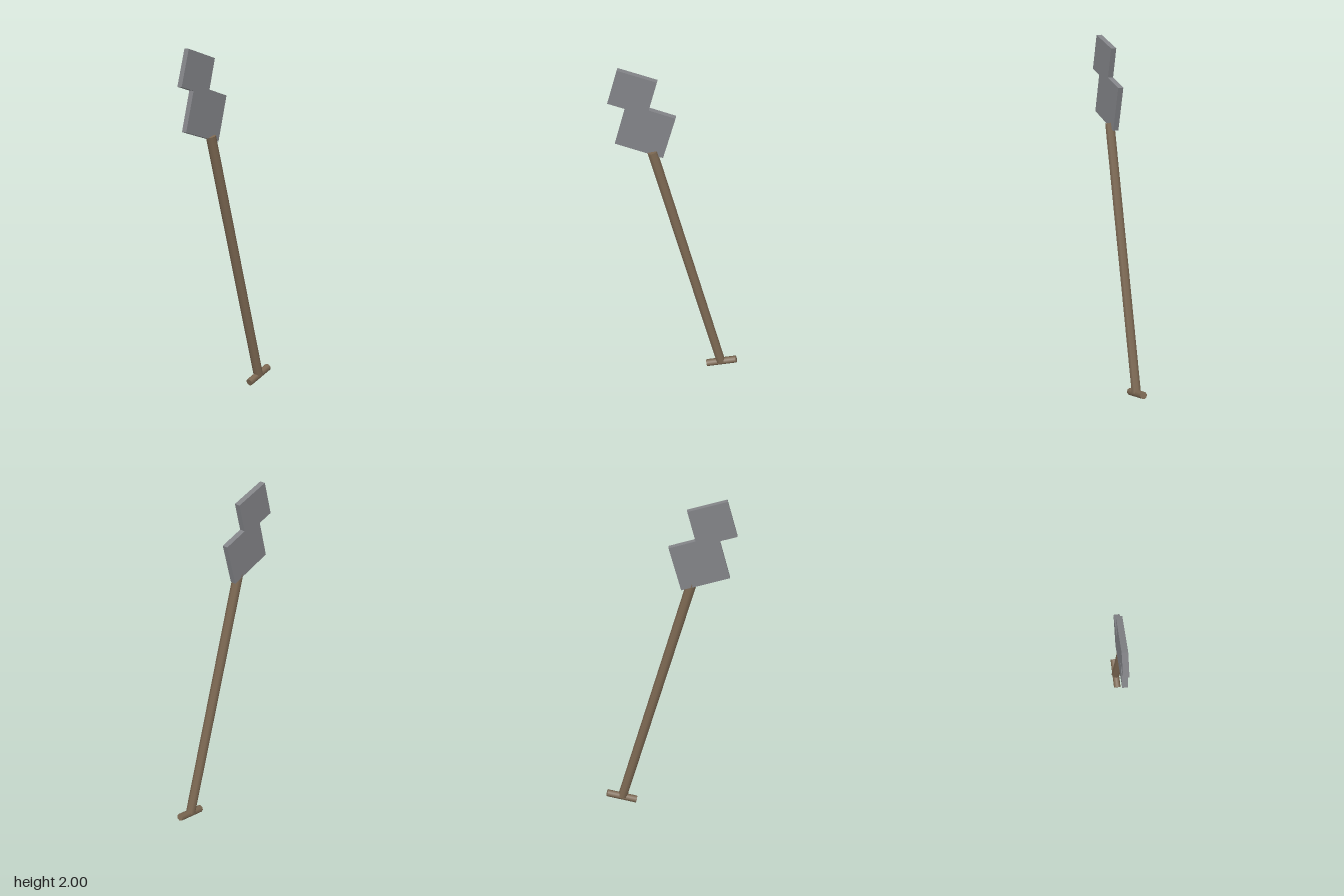
import * as THREE from 'three';

const V = (x, y, z) => new THREE.Vector3(x, y, z);

// Round bar between two points
function bar(name, from, to, radius, sides, material) {
  const dir = to.clone().sub(from);
  const mesh = new THREE.Mesh(new THREE.CylinderGeometry(radius, radius, dir.length(), sides), material);
  mesh.position.copy(from).add(to).multiplyScalar(0.5);
  mesh.quaternion.setFromUnitVectors(V(0, 1, 0), dir.normalize());
  mesh.name = name;
  return mesh;
}

export function createModel() {
  const model = new THREE.Group();
  model.name = 'tool';
  const wood = new THREE.MeshStandardMaterial({ color: 0x7c6852 });
  const metal = new THREE.MeshStandardMaterial({ color: 0x828387 });

  // Long tilted shaft and the crosswise grip at its foot
  model.add(bar('shaft', V(0.267, 0.053, 0.008), V(-0.138, 1.524, -0.007), 0.028, 8, wood));
  model.add(bar('grip', V(0.183, 0.025, 0.007), V(0.361, 0.075, 0.007), 0.0215, 8, wood));

  // Flat stepped blade made of two offset squares
  const outline = [
    [-0.315, 2.0], [-0.372, 1.804], [-0.28, 1.779], [-0.34, 1.563],
    [-0.08, 1.49], [-0.012, 1.738], [-0.153, 1.778], [-0.108, 1.944],
  ];
  const shape = new THREE.Shape(outline.map(([x, y]) => new THREE.Vector2(x, y)));
  const blade = new THREE.Mesh(new THREE.ExtrudeGeometry(shape, { depth: 0.031, bevelEnabled: false }), metal);
  blade.position.z = -0.034;
  blade.name = 'blade';
  model.add(blade);

  return model;
}
